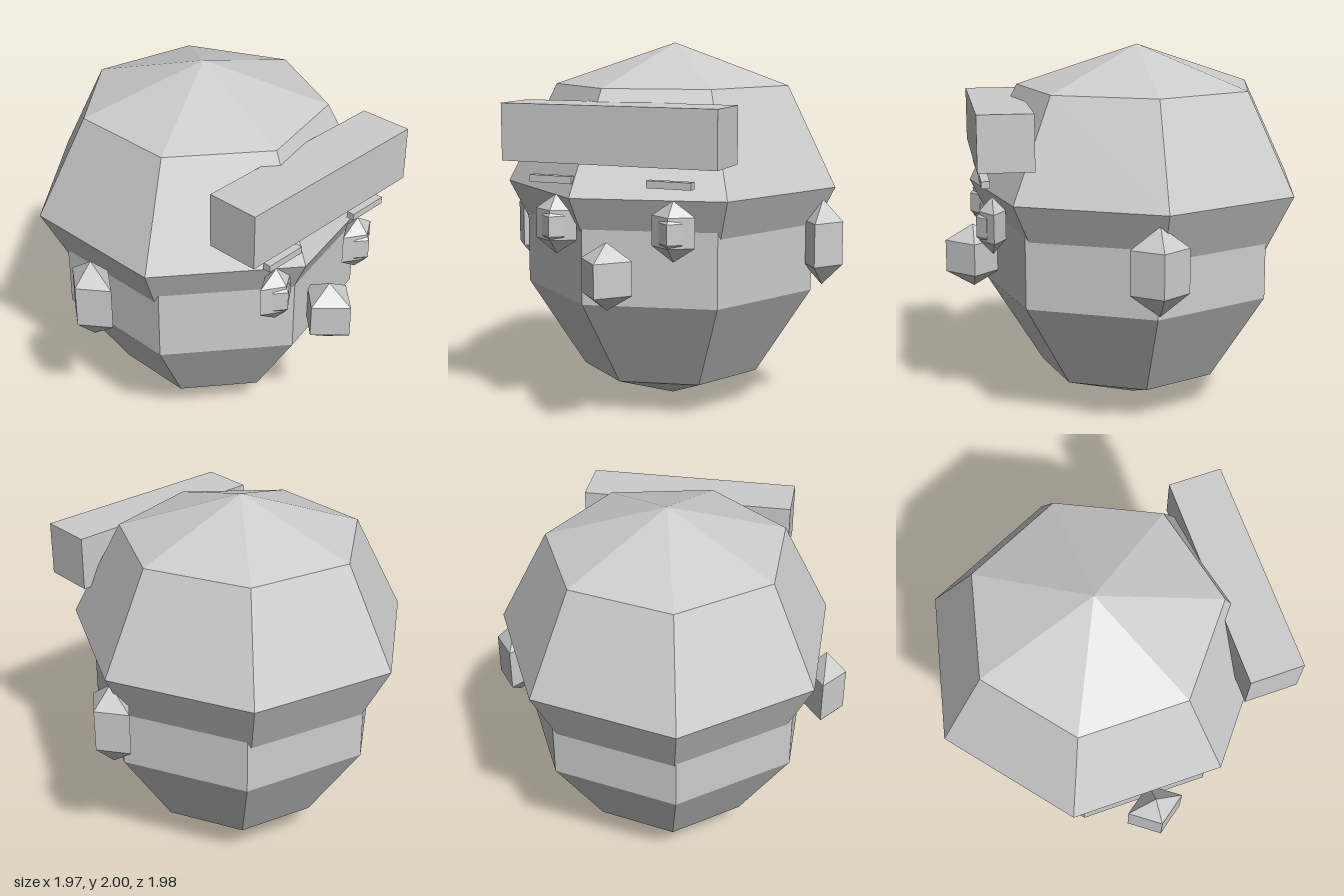
import * as THREE from 'three';

export function createModel() {
  const group = new THREE.Group();
  const clay = new THREE.MeshStandardMaterial({ color: 0xcccccc, flatShading: true });
  clay.name = 'clay grey';

  function add(name, geometry, x, y, z) {
    const mesh = new THREE.Mesh(geometry, clay);
    mesh.name = name;
    mesh.position.set(x, y, z);
    group.add(mesh);
  }

  // Faceted ellipsoid with its first corner on +x
  function ball(rx, ry, rz, sides, rows) {
    return new THREE.SphereGeometry(1, sides, rows).rotateY(Math.PI).scale(rx, ry, rz);
  }

  // Small four-sided gem used for the facial features
  const gem = (rx, ry, rz) => ball(rx, ry, rz, 4, 3);

  // Seven-sided head, with the hair as a wider shell sunk into it
  add('head', ball(0.85, 0.97, 0.86, 7, 5), 0, 0.975, -0.043);
  add('hair', ball(0.926, 0.76, 0.94, 7, 4), 0, 1.24, -0.075);

  // Block of hair over the forehead
  add('fringe', new THREE.BoxGeometry(1.175, 0.295, 0.29), 0, 1.562, 0.69);

  add('nose', gem(0.163, 0.175, 0.173), 0, 0.855, 0.84);

  // Paired features
  for (const [side, s] of [['left', 1], ['right', -1]]) {
    add(side + 'Ear', gem(0.13, 0.233, 0.176), s * 0.87, 0.945, -0.04);
    add(side + 'Eye', gem(0.134, 0.155, 0.081), s * 0.325, 1.09, 0.75);
    add(side + 'Pupil', gem(0.075, 0.105, 0.058), s * 0.325, 1.085, 0.785);
    add(side + 'Eyebrow', new THREE.BoxGeometry(0.237, 0.037, 0.045), s * 0.324, 1.328, 0.788);
  }

  return group;
}
